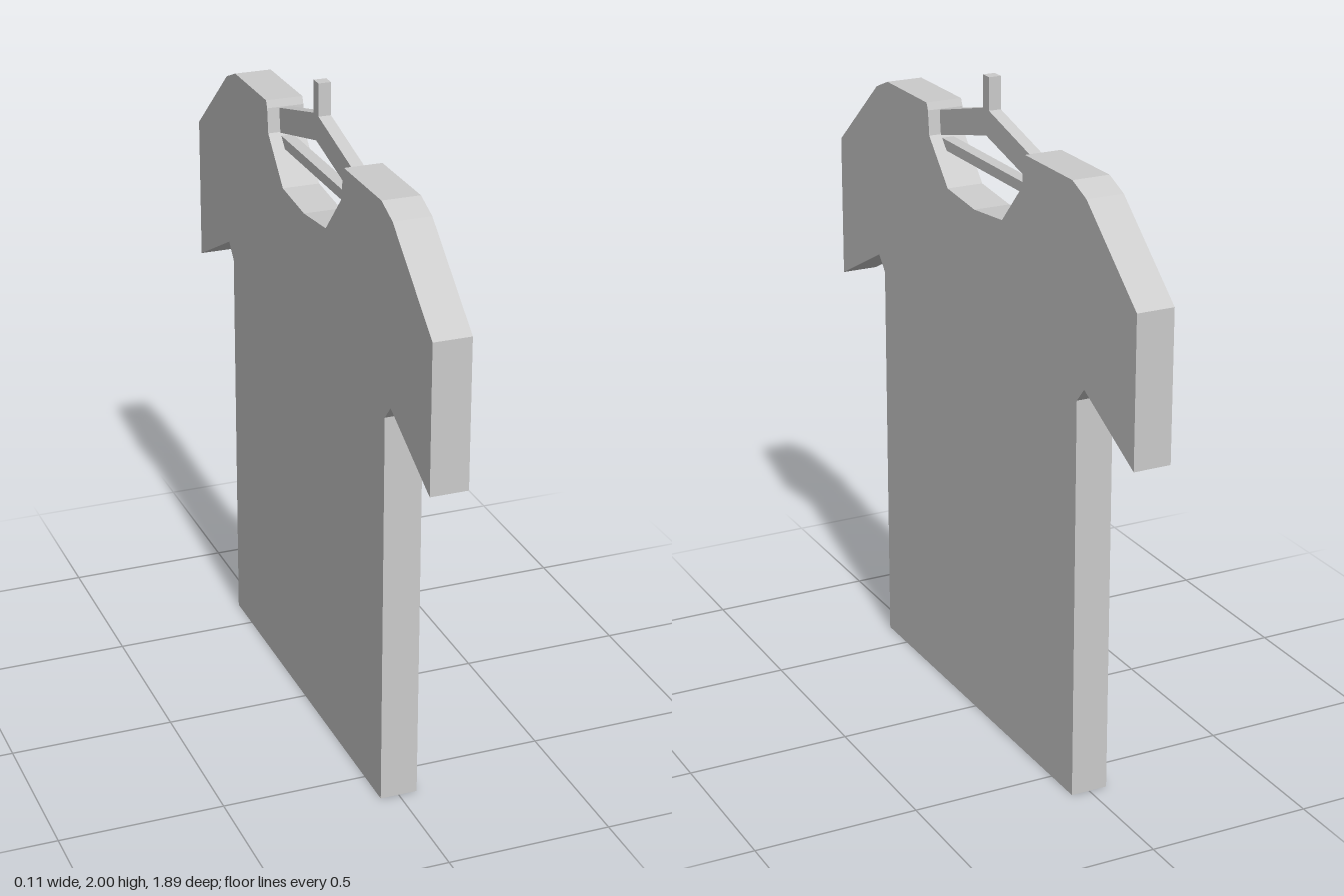
import * as THREE from 'three';

const material = new THREE.MeshStandardMaterial({ color: 0xcccccc, flatShading: true });

// Mirror a half outline (listed from bottom centre to top centre) and extrude it across x
function symmetricSlab(name, half, thickness) {
  const right = half.map(([z, y]) => new THREE.Vector2(z, y));
  const left = half.filter(([z]) => z > 0).reverse().map(([z, y]) => new THREE.Vector2(-z, y));
  const geometry = new THREE.ExtrudeGeometry(new THREE.Shape([...right, ...left]), {
    depth: thickness, bevelEnabled: false,
  });
  geometry.translate(0, 0, -thickness / 2);
  geometry.rotateY(Math.PI / 2);
  const mesh = new THREE.Mesh(geometry, material);
  mesh.name = name;
  return mesh;
}

export function createModel() {
  const model = new THREE.Group();
  model.name = 'shirtOnHanger';

  // Shirt: hem, side, armpit, sleeve, shoulder, neckline
  model.add(symmetricSlab('shirt', [
    [0.627, 0], [0.627, 1.232], [0.668, 1.278], [0.946, 1.137], [0.946, 1.585],
    [0.667, 1.82], [0.588, 1.852], [0.314, 1.852], [0.305, 1.83], [0.297, 1.755],
    [0.175, 1.625], [0, 1.608],
  ], 0.114));

  // Hanger: sloping arms with the upright hook stem, and the cross bar
  const hanger = new THREE.Group();
  hanger.name = 'hanger';
  hanger.add(symmetricSlab('hangerArms', [
    [0, 1.825], [0.303, 1.751], [0.303, 1.828], [0.019, 1.902], [0.019, 2], [0, 2],
  ], 0.038));
  const bar = new THREE.Mesh(new THREE.BoxGeometry(0.038, 0.032, 0.58), material);
  bar.name = 'hangerBar';
  bar.position.y = 1.73;
  hanger.add(bar);
  model.add(hanger);

  return model;
}
